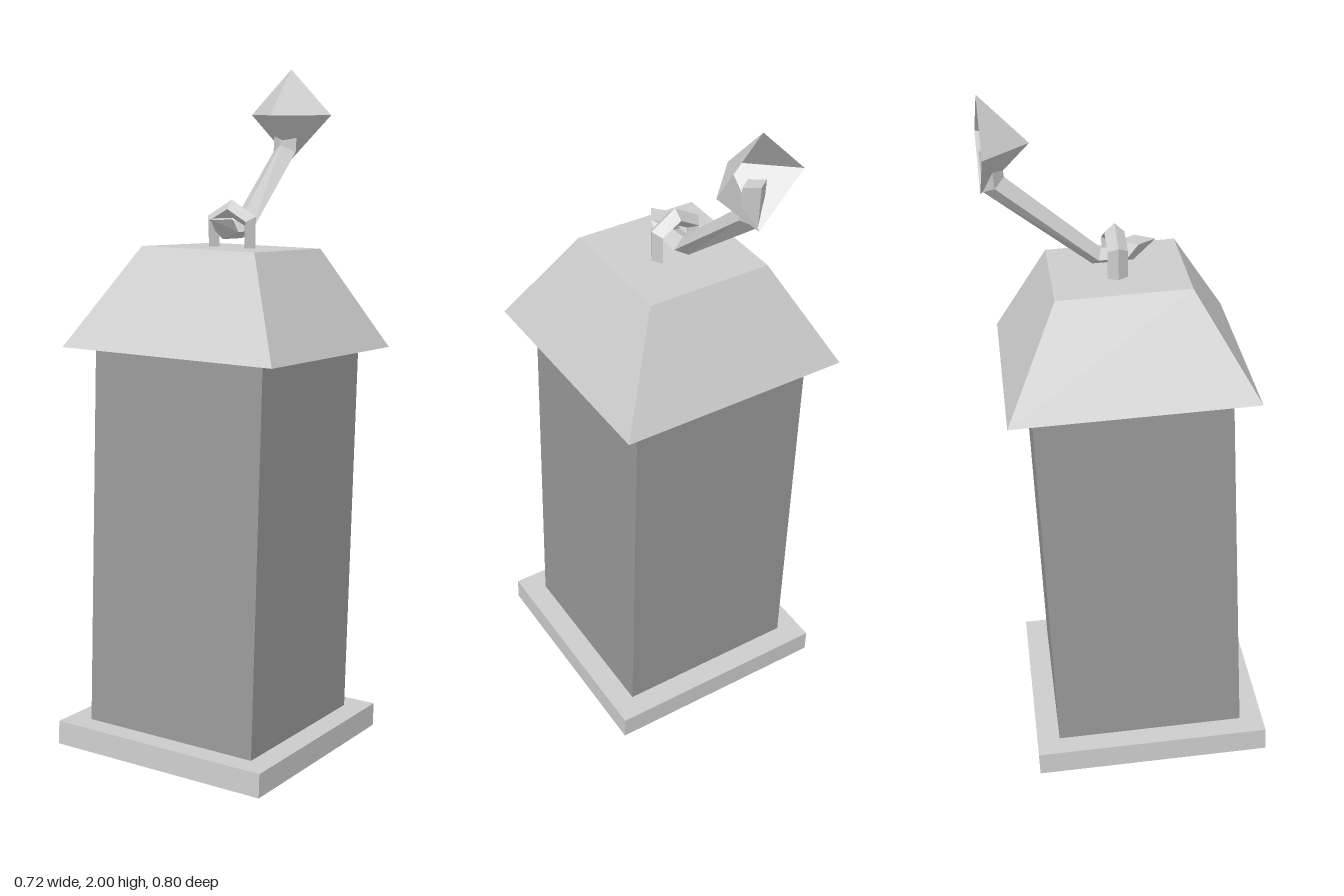
import * as THREE from 'three';

const lightGrey = new THREE.MeshStandardMaterial({ color: 0xcccccc, side: THREE.DoubleSide });
lightGrey.name = 'lightGrey';
const midGrey = new THREE.MeshStandardMaterial({ color: 0x999999 });
midGrey.name = 'midGrey';

function part(name, geometry, material) {
  const flat = geometry.index ? geometry.toNonIndexed() : geometry;
  flat.computeVertexNormals();
  const mesh = new THREE.Mesh(flat, material);
  mesh.name = name;
  return mesh;
}

// Joins four-cornered cross-sections into a capped, flat-sided bar
function sweep(sections) {
  const pos = [];
  const tri = (...pts) => pts.forEach((p) => pos.push(...p));
  for (let s = 0; s < sections.length - 1; s++) {
    const a = sections[s], b = sections[s + 1];
    for (let i = 0; i < 4; i++) {
      const n = (i + 1) % 4;
      tri(a[i], b[i], b[n]);
      tri(a[i], b[n], a[n]);
    }
  }
  const f = sections[0], l = sections[sections.length - 1];
  tri(f[0], f[1], f[2]);
  tri(f[0], f[2], f[3]);
  tri(l[0], l[2], l[1]);
  tri(l[0], l[3], l[2]);
  const g = new THREE.BufferGeometry();
  g.setAttribute('position', new THREE.Float32BufferAttribute(pos, 3));
  return g;
}

export function createModel() {
  const model = new THREE.Group();
  model.name = 'hangingLantern';

  // Lantern, hanging slightly askew
  const lantern = new THREE.Group();
  lantern.name = 'lantern';
  lantern.rotation.set(-0.048, -0.044, 0, 'YXZ');
  lantern.position.set(-0.004, 0.017, 0.04);
  model.add(lantern);

  const base = part('base', new THREE.BoxGeometry(0.692, 0.07, 0.692), lightGrey);
  base.position.y = 0.035;
  const body = part('body', new THREE.BoxGeometry(0.556, 1.115, 0.556), midGrey);
  body.position.y = 0.6275;
  const roofShape = new THREE.CylinderGeometry(0.375 * Math.SQRT1_2, 0.692 * Math.SQRT1_2, 0.29, 4);
  roofShape.rotateY(Math.PI / 4);
  const roof = part('roof', roofShape, lightGrey);
  roof.position.y = 1.33;
  lantern.add(base, body, roof);

  // Carrying loop: [outer x, outer y, inner x, inner y]
  const cx = -0.006;
  const loop = [
    [-0.078, 1.47, -0.042, 1.47],
    [-0.078, 1.58, -0.042, 1.553],
    [0, 1.627, 0, 1.575],
    [0.078, 1.58, 0.042, 1.553],
    [0.078, 1.47, 0.042, 1.47],
  ].map(([ox, oy, ix, iy]) => {
    const mx = (ox + ix) / 2 + cx, my = (oy + iy) / 2;
    return [[ox + cx, oy, -0.038], [mx, my, -0.066], [ix + cx, iy, -0.038], [mx, my, -0.01]];
  });
  model.add(part('carryingLoop', sweep(loop), lightGrey));

  // Hook arm from the wall down to the loop: [inner z, inner y, outer z, outer y]
  const arm = [
    [-0.345, 1.85, -0.4, 1.85],
    [-0.335, 1.775, -0.392, 1.735],
    [-0.075, 1.557, -0.1, 1.512],
    [-0.03, 1.557, 0.015, 1.517],
    [-0.03, 1.575, 0.077, 1.575],
  ].map(([iz, iy, oz, oy]) => {
    const my = (iy + oy) / 2, mz = (iz + oz) / 2;
    return [[cx, iy, iz], [cx + 0.038, my, mz], [cx, oy, oz], [cx - 0.038, my, mz]];
  });
  model.add(part('hookArm', sweep(arm), lightGrey));

  // Open-backed pointed wall mount
  const mountShape = new THREE.ConeGeometry(0.136, 0.135, 4, 1, true);
  mountShape.rotateX(Math.PI / 2);
  const mount = part('wallMount', mountShape, lightGrey);
  mount.position.set(cx + 0.002, 1.864, -0.3325);
  model.add(mount);

  return model;
}
